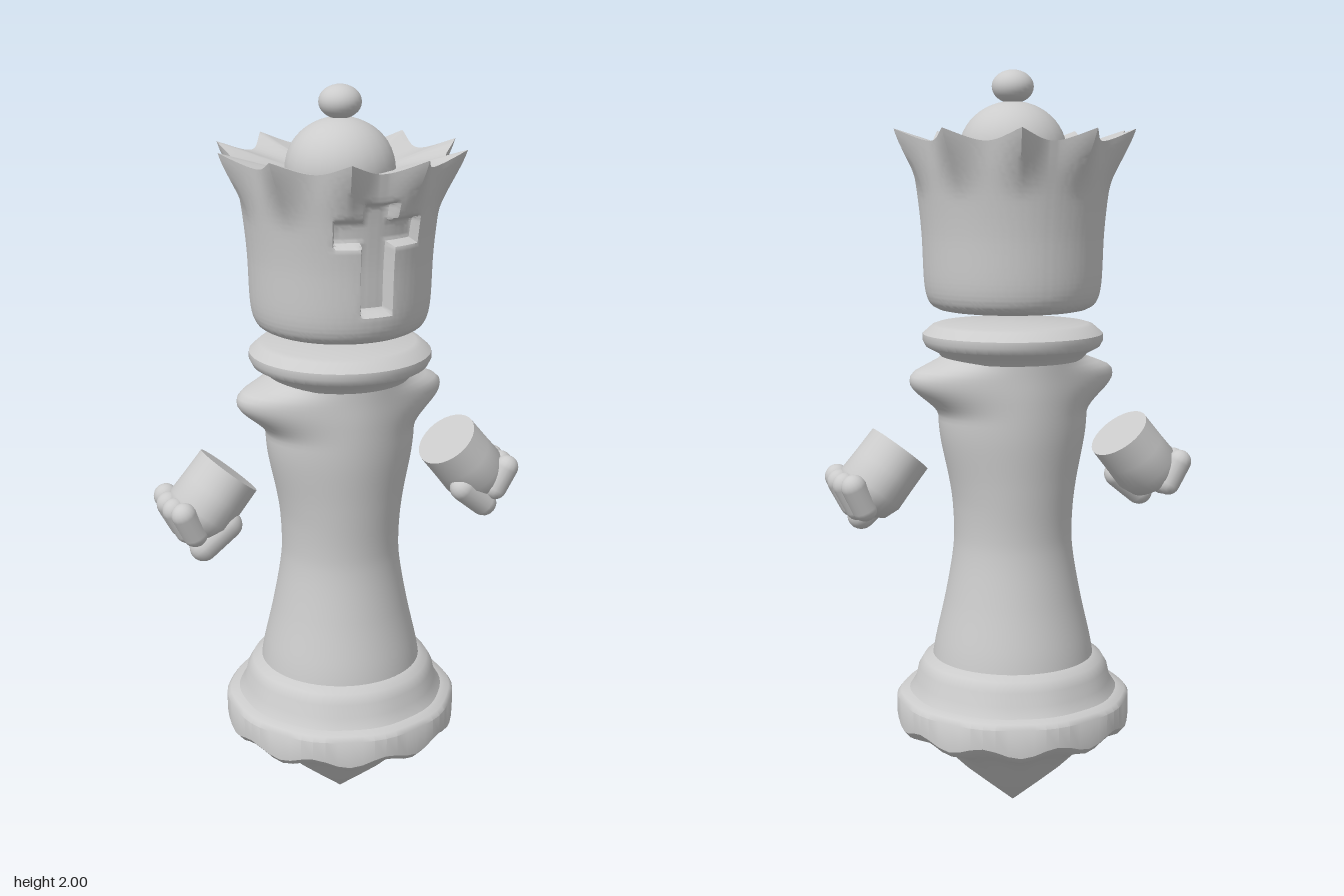
import * as THREE from 'three';
import { mergeVertices, toCreasedNormals } from 'three/addons/utils/BufferGeometryUtils.js';

const material = new THREE.MeshStandardMaterial({ color: 0xcccccc });
const { smoothstep } = THREE.MathUtils;

function addMesh(parent, name, geometry) {
  const mesh = new THREE.Mesh(geometry, material);
  mesh.name = name;
  parent.add(mesh);
  return mesh;
}

// Lathe whose vertices may be moved by a rule, with smooth normals and sharp creases
function turned(points, segments, rule, crease = 0.7) {
  const profile = points.map(([r, y]) => new THREE.Vector2(r, y));
  let geo = new THREE.LatheGeometry(profile, segments);
  const pos = geo.attributes.position;
  const v = new THREE.Vector3();
  if (rule) {
    for (let i = 0; i < pos.count; i++) {
      v.fromBufferAttribute(pos, i);
      rule(v, i % profile.length);
      pos.setXYZ(i, v.x, v.y, v.z);
    }
  }
  geo.deleteAttribute('uv');
  geo.deleteAttribute('normal');
  geo = mergeVertices(geo, 1e-5);
  geo.computeVertexNormals();
  return toCreasedNormals(geo, crease);
}

// Evenly spaced points on a smooth curve through the given ones
function smoothProfile(points, count) {
  return new THREE.SplineCurve(points.map(([x, y]) => new THREE.Vector2(x, y)))
    .getSpacedPoints(count).map((p) => [Math.max(p.x, 0), p.y]);
}

// Pointed base with a thick, slightly uneven rim
function baseGeometry() {
  const profile = [
    [0, 0], [0.08, 0.068], [0.14, 0.12], [0.19, 0.17], [0.25, 0.212], [0.305, 0.238],
    [0.32, 0.255], [0.32, 0.32], [0.31, 0.332], [0.285, 0.338], [0.268, 0.365],
    [0.26, 0.4], [0.245, 0.425], [0.215, 0.44], [0, 0.44],
  ];
  return turned(profile, 60, (v) => {
    const a = Math.atan2(v.x, v.z);
    const rim = smoothstep(Math.hypot(v.x, v.z), 0.2, 0.31);
    const k = 1 - 0.012 * rim * (1 - Math.cos(10 * a)) / 2;
    v.x *= k;
    v.z *= k;
    if (v.y < 0.3) v.y += 0.012 * rim * Math.cos(10 * a);
  });
}

// Waisted trunk that swells into two shoulders on the sides
function trunkGeometry() {
  const profile = smoothProfile([
    [0.222, 0.42], [0.212, 0.48], [0.185, 0.6], [0.164, 0.72], [0.16, 0.8], [0.168, 0.92],
    [0.18, 1.05], [0.182, 1.15], [0.18, 1.22], [0.18, 1.275],
  ], 70);
  return turned(profile, 72, (v) => {
    const side = Math.abs(v.x) / Math.hypot(v.x, v.z);
    const swell = smoothstep(v.y, 1.1, 1.2) * (1 - smoothstep(v.y, 1.215, 1.27));
    const flare = 0.022 * smoothstep(v.y, 0.85, 1.1) * (1 - smoothstep(v.y, 1.2, 1.27));
    v.x += Math.sign(v.x) * (0.085 * swell + flare) * side ** 3;
  });
}

// Crown with ten points, a scalloped rim and a sunken cross at the front
function crownGeometry() {
  const outer = smoothProfile([
    [0.195, 1.383], [0.22, 1.4], [0.234, 1.45], [0.24, 1.58], [0.25, 1.68], [0.262, 1.76], [0.27, 1.817],
  ], 75);
  const inner = [];
  for (let i = 1; i <= 10; i++) inner.push([0.27 - 0.014 * i, 1.817 - 0.0027 * i]);
  const profile = [[0, 1.38], [0.14, 1.38], [0.18, 1.38], ...outer, ...inner, [0, 1.79]];
  const rim = 3 + outer.length - 1;
  const box = (x, y, cx, cy, w, h) => Math.max(Math.abs(x - cx) - w, Math.abs(y - cy) - h);
  return turned(profile, 200, (v, row) => {
    const r = Math.hypot(v.x, v.z);
    const a = Math.atan2(v.x, v.z);
    const x = v.x, y = v.y;
    const spike = 1 - Math.abs(Math.cos(5 * a));
    const f = row <= rim ? smoothstep(y, 1.66, 1.83) ** 1.3 : Math.max(0, (r - 0.13) / 0.14);
    if (r > 0) {
      const k = 1 + 0.056 * spike * f / r;
      v.x *= k;
      v.z *= k;
      v.y += 0.032 * spike * f;
    }
    if (v.z > 0 && row > 3 && row < rim) {
      const d = Math.min(box(x, y, 0, 1.602, 0.042, 0.142), box(x, y, 0.003, 1.668, 0.113, 0.035));
      v.z -= 0.036 * (1 - smoothstep(d, -0.014, 0.004));
    }
  });
}

// Rounded finger between two points
function addFinger(parent, name, from, to, radius) {
  const a = new THREE.Vector3(...from);
  const b = new THREE.Vector3(...to);
  const mesh = addMesh(parent, name, new THREE.CapsuleGeometry(radius, a.distanceTo(b), 6, 14));
  mesh.position.copy(a).add(b).multiplyScalar(0.5);
  mesh.quaternion.setFromUnitVectors(new THREE.Vector3(0, 1, 0), b.sub(a).normalize());
}

// Floating fist cut flat at the wrist; s is +1 for the left, -1 for the right
function makeHand(s) {
  const hand = new THREE.Group();
  hand.name = s > 0 ? 'leftHand' : 'rightHand';
  const palm = [
    [0, -0.195], [0.045, -0.19], [0.075, -0.17], [0.09, -0.13], [0.088, -0.07], [0.087, 0], [0, 0],
  ];
  addMesh(hand, 'palm', turned(palm, 32, (v) => { v.z *= 1.18; }, 0.9));
  for (let i = 0; i < 4; i++) {
    const z = 0.078 - 0.052 * i;
    const reach = i === 1 || i === 2 ? 0.008 : 0;
    addFinger(hand, 'finger', [s * (0.066 + reach / 2), -0.155 - reach, z],
      [s * 0.005, -0.182 - reach, z * 0.9], 0.033);
  }
  addFinger(hand, 'thumb', [s * -0.062, -0.115, 0.06], [s * -0.045, -0.2, 0.055], 0.037);
  hand.position.set(s * 0.318, 1.025, 0.003);
  hand.rotation.z = s * 0.69;
  return hand;
}

export function createModel() {
  const model = new THREE.Group();
  model.name = 'chessQueen';
  addMesh(model, 'base', baseGeometry());
  addMesh(model, 'trunk', trunkGeometry());

  // Collar below the floating crown
  addMesh(model, 'collar', turned([
    [0, 1.25], [0.185, 1.25], [0.2, 1.268], [0.232, 1.285], [0.241, 1.302], [0.24, 1.318],
    [0.215, 1.34], [0.2, 1.345], [0, 1.345],
  ], 48, null, 0.6));

  addMesh(model, 'crown', crownGeometry());

  // Dome and finial on top
  const dome = addMesh(model, 'dome', new THREE.SphereGeometry(0.142, 24, 12, 0, Math.PI * 2, 0, Math.PI / 2));
  dome.scale.y = 0.92;
  dome.position.y = 1.79;
  const finial = addMesh(model, 'finial', new THREE.SphereGeometry(0.055, 24, 16));
  finial.scale.y = 0.78;
  finial.position.y = 1.957;

  for (const s of [1, -1]) model.add(makeHand(s));
  return model;
}
